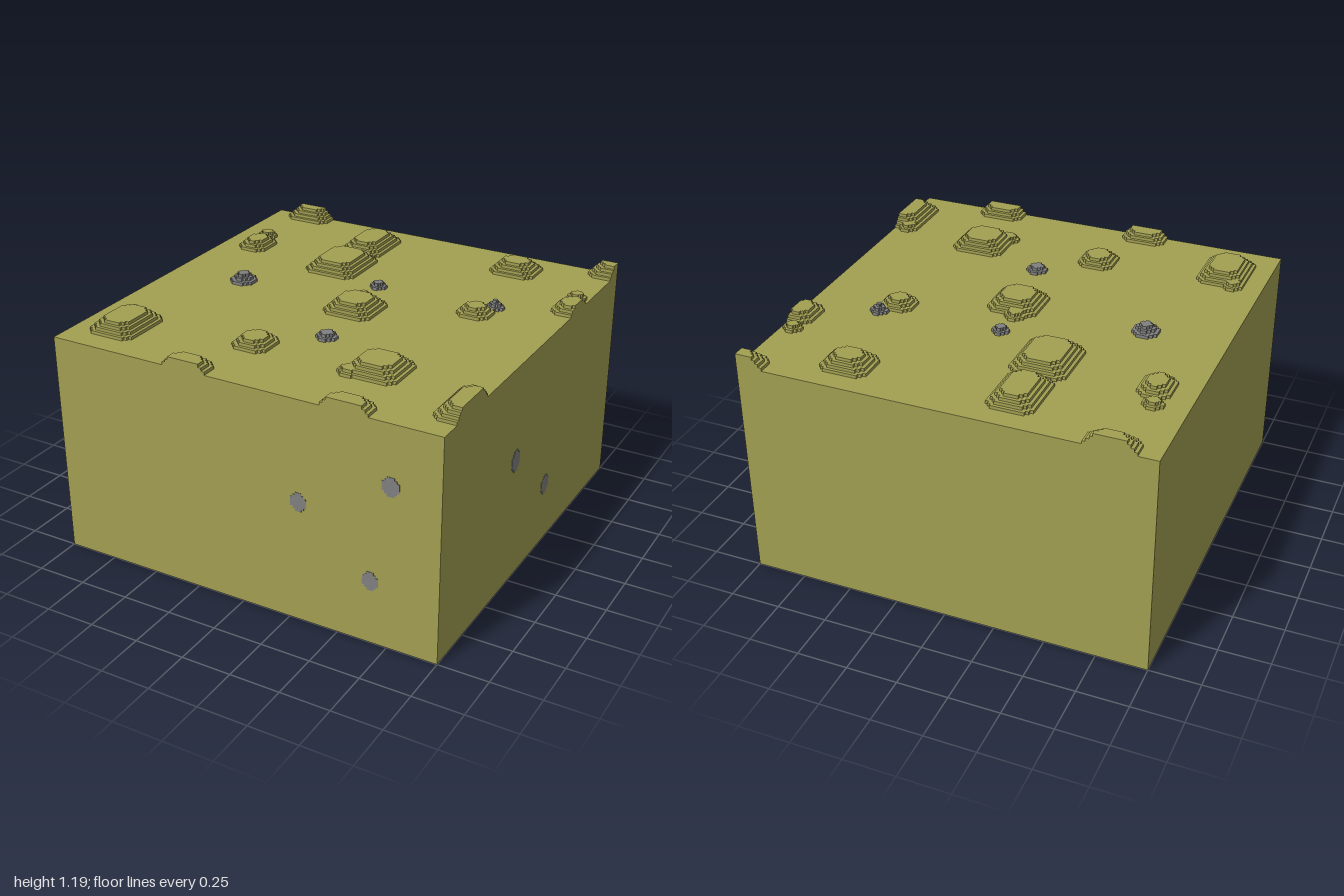
import * as THREE from 'three';

const V = 1 / 64;        // step size of the blocky terrain
const TOP = 72 * V;      // height of the flat ground

const earth = new THREE.MeshStandardMaterial({ color: 0xa3a052 });
earth.name = 'olive earth';
const stone = new THREE.MeshStandardMaterial({ color: 0x808080 });
stone.name = 'grey stone';

// Rectangle with stair-stepped corners, cut off at the block's edges
function steppedShape(x0, x1, y0, y1, n) {
  const cx = (x0 + x1) / 2, cy = (y0 + y1) / 2;
  const hx = (x1 - x0) / 2, hy = (y1 - y0) / 2;
  const corner = [[0, 2 * n], [n, 2 * n], [n, n], [2 * n, n], [2 * n, 0]];
  const points = [];
  for (const [sx, sy] of [[1, 1], [-1, 1], [-1, -1], [1, -1]]) {
    const steps = sx * sy > 0 ? corner : [...corner].reverse();
    for (const [dx, dy] of steps) {
      const p = new THREE.Vector2(
        THREE.MathUtils.clamp(cx + sx * (hx - dx), -1, 1),
        THREE.MathUtils.clamp(cy + sy * (hy - dy), -1, 1));
      if (!points.length || points[points.length - 1].distanceTo(p) > 1e-5) points.push(p);
    }
  }
  if (points[0].distanceTo(points[points.length - 1]) < 1e-5) points.pop();
  return new THREE.Shape(points);
}

// Stack of shrinking stepped slabs lying on the ground
function mound(name, [x0, x1, z0, z1, layers], material) {
  const group = new THREE.Group();
  group.name = name;
  for (let i = 0; i < layers; i++) {
    const d = i * V;
    const notch = Math.min(V, (Math.min(x1 - x0, z1 - z0) - 2 * d) / 6);
    const shape = steppedShape(x0 + d, x1 - d, -z1 + d, -z0 - d, notch);
    const geometry = new THREE.ExtrudeGeometry(shape, { depth: V, bevelEnabled: false });
    geometry.rotateX(-Math.PI / 2);
    geometry.translate(0, TOP + i * V, 0);
    const mesh = new THREE.Mesh(geometry, material);
    mesh.name = name + 'Layer';
    group.add(mesh);
  }
  return group;
}

// Thin stone face showing in a side wall
function sidePebble(u, y, w, h) {
  const shape = steppedShape(-w / 2, w / 2, -h / 2, h / 2, 0.012);
  const geometry = new THREE.ExtrudeGeometry(shape, { depth: 0.004, bevelEnabled: false });
  geometry.translate(u, y, 0.998);
  const mesh = new THREE.Mesh(geometry, stone);
  mesh.name = 'sidePebble';
  return mesh;
}

export function createModel() {
  const model = new THREE.Group();
  model.name = 'groundBlock';

  // Solid block of earth
  const body = new THREE.Mesh(new THREE.BoxGeometry(2, TOP, 2), earth);
  body.name = 'earthBlock';
  body.position.y = TOP / 2;
  model.add(body);

  // Mounds: x from, x to, z from, z to, number of layers
  const mounds = [
    [-0.905, -0.66, -1.11, -0.895, 4],
    [0.87, 1.11, -1.11, -0.895, 4],
    [-0.39, -0.165, -0.895, -0.585, 4],
    [-0.415, -0.14, -0.58, -0.26, 4],
    [0.415, 0.65, -0.895, -0.695, 4],
    [-0.89, -0.79, -0.645, -0.56, 2],
    [-0.89, -0.735, -0.555, -0.365, 3],
    [0.89, 0.985, -0.645, -0.56, 2],
    [0.885, 1.05, -0.555, -0.365, 3],
    [0.5, 0.665, -0.27, -0.12, 3],
    [-0.07, 0.18, -0.09, 0.16, 4],
    [-0.03, 0.07, -0.145, -0.03, 2],
    [-0.905, -0.665, 0.58, 0.885, 4],
    [-0.905, -0.8, 0.55, 0.66, 2],
    [0.875, 1.11, 0.58, 0.885, 4],
    [0.875, 0.985, 0.55, 0.66, 2],
    [-0.235, -0.055, 0.52, 0.705, 3],
    [0.345, 0.61, 0.45, 0.705, 4],
    [0.32, 0.44, 0.62, 0.715, 2],
    [-0.39, -0.165, 0.89, 1.11, 3],
    [0.415, 0.65, 0.89, 1.11, 3],
  ];
  for (const m of mounds) model.add(mound('mound', m, earth));

  // Stones on top: x, z, radius, layers
  const stones = [
    [-0.605, 0, 0.062, 3],
    [0.025, -0.255, 0.042, 2],
    [0.64, -0.295, 0.044, 3],
    [0.105, 0.395, 0.05, 2],
  ];
  for (const [x, z, r, n] of stones) {
    model.add(mound('topStone', [x - r, x + r, z - r, z + r, n], stone));
  }

  // Stones showing in the front wall
  const front = new THREE.Group();
  front.name = 'frontPebbles';
  front.add(
    sidePebble(0.305, 0.62, 0.08, 0.095),
    sidePebble(0.76, 0.825, 0.085, 0.095),
    sidePebble(0.665, 0.325, 0.08, 0.095));
  model.add(front);

  // Stones showing in the +x wall
  const side = new THREE.Group();
  side.name = 'leftPebbles';
  side.rotation.y = Math.PI / 2;
  side.add(
    sidePebble(-0.225, 0.64, 0.085, 0.11),
    sidePebble(0.165, 0.32, 0.085, 0.1));
  model.add(side);

  return model;
}
